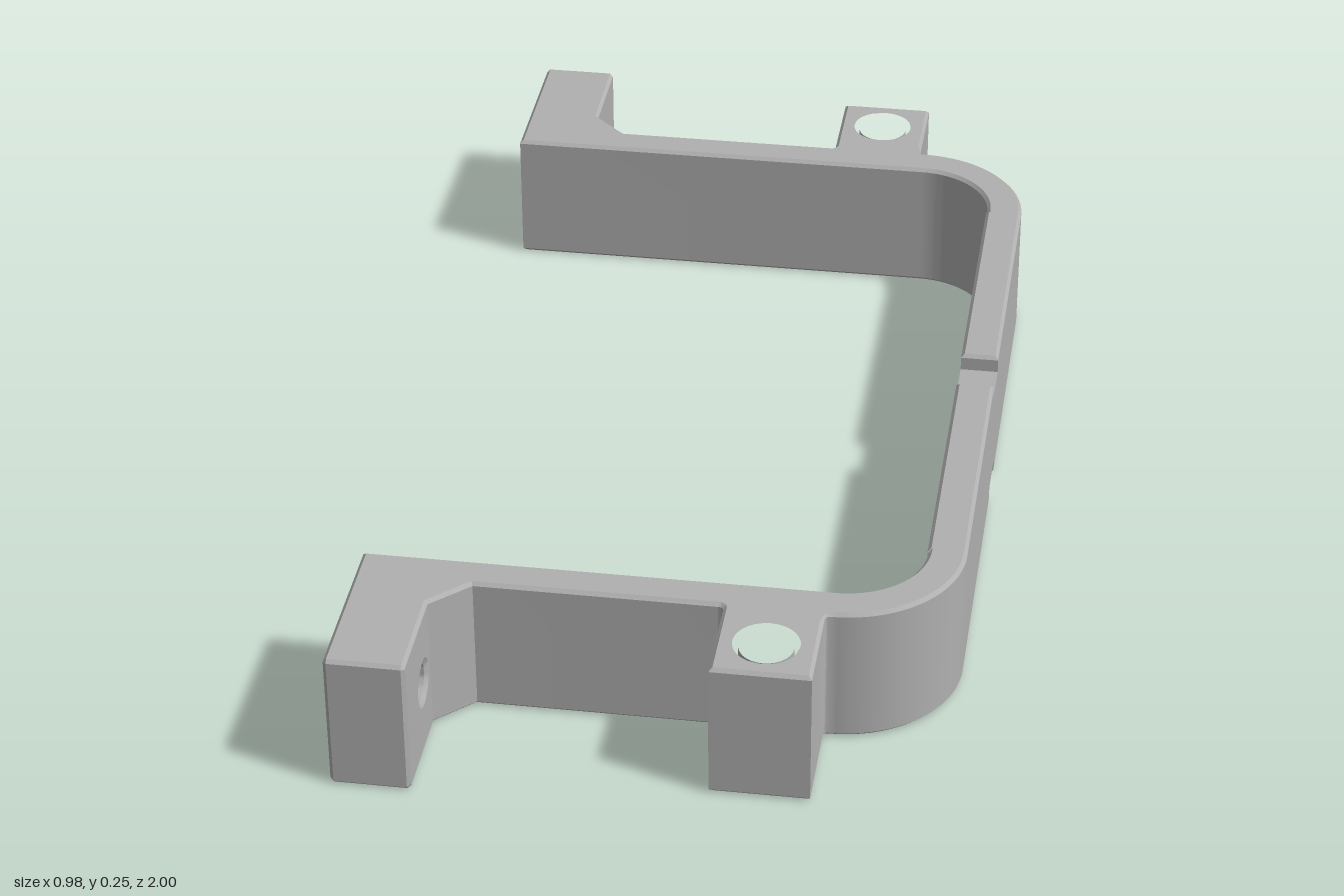
import * as THREE from 'three';
import { toCreasedNormals } from 'three/addons/utils/BufferGeometryUtils.js';

const H = 0.247;       // bracket height
const BEVEL = 0.006;   // small chamfer on all edges
const LEFT = -0.493, RIGHT = 0.491, BLOCK = -0.36;

// Chamfered extrusion, centred on its depth, with one round hole whose
// radius may differ at the start, in the middle and at the end.
function chamferedPart(outline, depth, hole) {
  const path = new THREE.Path();
  path.absarc(hole.x, hole.y, hole.mid, 0, Math.PI * 2, true);
  outline.holes.push(path);
  const geo = new THREE.ExtrudeGeometry(outline, {
    depth: depth - 2 * BEVEL, curveSegments: 14, bevelEnabled: true,
    bevelSegments: 1, bevelSize: BEVEL, bevelThickness: BEVEL, bevelOffset: -BEVEL,
  });
  geo.translate(0, 0, BEVEL - depth / 2);
  const p = geo.attributes.position;
  for (let i = 0; i < p.count; i++) {
    const dx = p.getX(i) - hole.x, dy = p.getY(i) - hole.y, d = Math.hypot(dx, dy);
    if (d > hole.mid + 0.02) continue;
    const z = p.getZ(i), atEnd = Math.abs(z) > depth / 2 - BEVEL / 2;
    const r = atEnd ? (z > 0 ? hole.end : hole.start) : hole.mid;
    p.setXY(i, hole.x + dx * r / d, hole.y + dy * r / d);
  }
  return toCreasedNormals(geo, 0.5);
}

// Half of the U frame with its screw tab, drawn in x and z
function armGeometry() {
  const s = new THREE.Shape();
  s.moveTo(0.425, 0.045);
  s.lineTo(0.425, 0.56);
  s.absarc(0.29, 0.56, 0.137, 0, Math.PI / 2, false);
  s.lineTo(LEFT, 0.697);
  s.lineTo(LEFT, 0.826);
  s.lineTo(BLOCK, 0.826);
  s.lineTo(BLOCK, 0.82);
  s.lineTo(-0.298, 0.76);
  s.lineTo(0.105, 0.76);
  s.quadraticCurveTo(0.115, 0.76, 0.115, 0.77);
  s.lineTo(0.115, 0.935);
  s.lineTo(0.28, 0.935);
  s.lineTo(0.28, 0.77);
  s.quadraticCurveTo(0.28, 0.761, 0.29, 0.761);
  s.absarc(0.29, 0.56, RIGHT - 0.29, Math.PI / 2, 0, true);
  s.lineTo(RIGHT, 0.045);
  s.closePath();
  const hole = { x: 0.197, y: 0.855, start: 0.055, mid: 0.045, end: 0.055 };
  return chamferedPart(s, H, hole).rotateX(Math.PI / 2);
}

// End block with a cross hole, drawn in -z and y and extruded along x
function blockGeometry() {
  const h = H / 2, c = BEVEL;
  const s = new THREE.Shape();
  s.moveTo(-0.814, -h);
  s.lineTo(-0.814, h);
  s.lineTo(-1 + c, h);
  s.lineTo(-1, h - c);
  s.lineTo(-1, -h + c);
  s.lineTo(-1 + c, -h);
  s.closePath();
  const hole = { x: -0.875, y: 0, start: 0.033, mid: 0.032, end: 0.042 };
  return chamferedPart(s, BLOCK - LEFT, hole)
    .rotateY(Math.PI / 2)
    .translate((LEFT + BLOCK) / 2, 0, 0);
}

export function createModel() {
  const grey = new THREE.MeshStandardMaterial({ color: 0xb0b0b0 });
  grey.name = 'grey';
  const model = new THREE.Group();
  model.name = 'bracket';
  const add = (parent, name, geo) => {
    const mesh = new THREE.Mesh(geo, grey);
    mesh.name = name;
    parent.add(mesh);
    return mesh;
  };

  // Two equal halves; a half turn about x mirrors the vertically symmetric part
  const arm = armGeometry(), block = blockGeometry();
  for (const [name, turn] of [['frontHalf', 0], ['backHalf', Math.PI]]) {
    const half = new THREE.Group();
    half.name = name;
    half.position.y = H / 2;
    half.rotation.x = turn;
    add(half, 'armWithScrewTab', arm);
    add(half, 'endBlock', block);
    model.add(half);
  }

  // Lower bridge between the halves leaves a notch above and below
  const bridge = add(model, 'notchedBridge',
    new THREE.BoxGeometry(RIGHT - 0.425, H - 0.06, 0.12));
  bridge.position.set((RIGHT + 0.425) / 2, H / 2, 0);
  return model;
}
